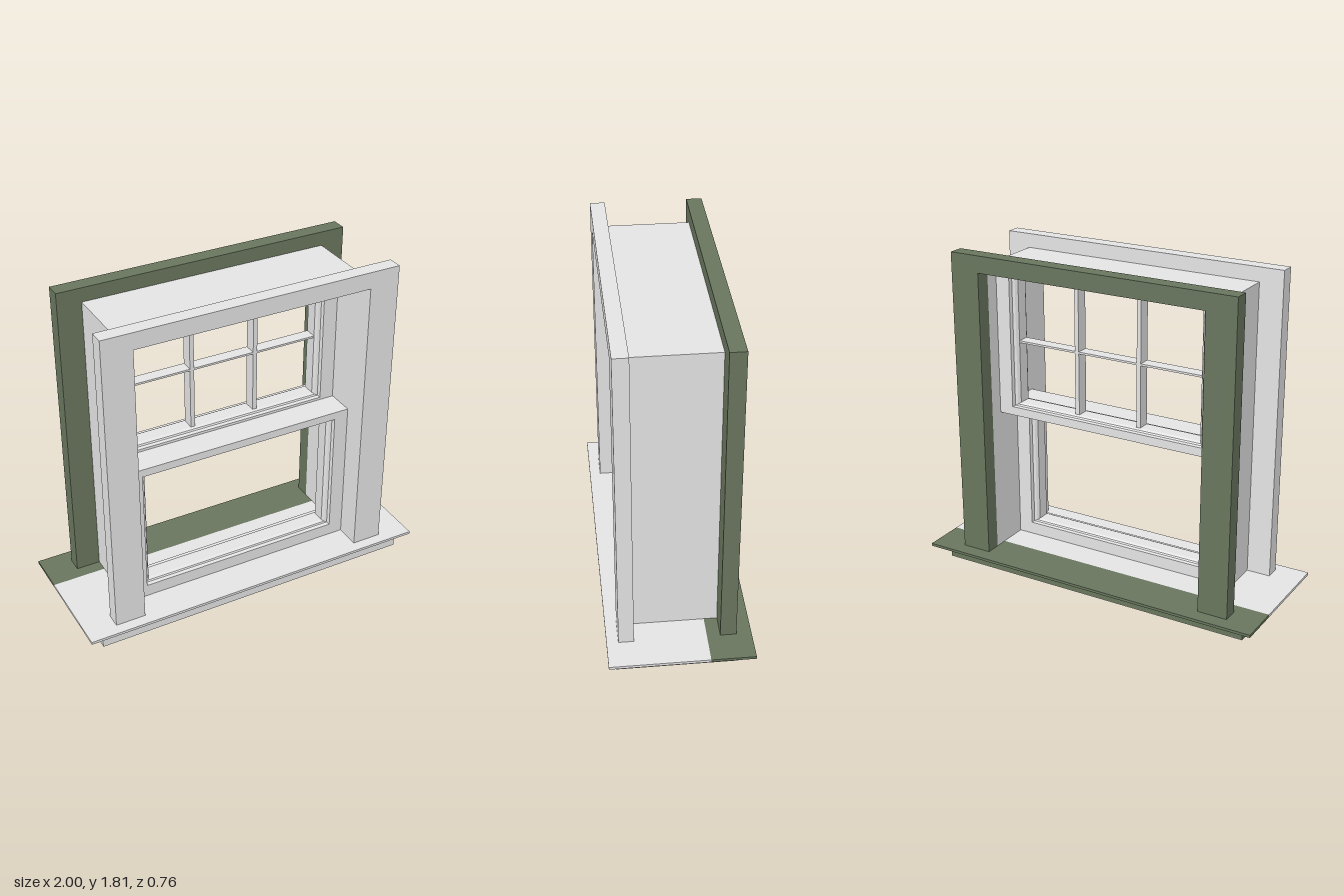
import * as THREE from 'three';

const SILL_TOP = 0.095;

export function createModel() {
  const root = new THREE.Group();
  root.name = 'sashWindow';
  const grey = new THREE.MeshStandardMaterial({ color: 0xe4e4e4 });
  grey.name = 'pale grey';
  const green = new THREE.MeshStandardMaterial({ color: 0x69765e });
  green.name = 'dull green';

  const add = (parent, name, geometry, material) => {
    const mesh = new THREE.Mesh(geometry, material);
    mesh.name = name;
    parent.add(mesh);
    return mesh;
  };

  // Box given by its limits on each axis
  const box = (parent, name, mat, [x0, x1], [y0, y1], [z0, z1]) => {
    const g = new THREE.BoxGeometry(x1 - x0, y1 - y0, z1 - z0);
    g.translate((x0 + x1) / 2, (y0 + y1) / 2, (z0 + z1) / 2);
    return add(parent, name, g, mat);
  };

  // Three-sided surround standing on the sill, extruded in z
  const surround = (outX, outY, inX, inY, z0, z1) => {
    const shape = new THREE.Shape([
      [-outX, SILL_TOP], [-inX, SILL_TOP], [-inX, inY], [inX, inY],
      [inX, SILL_TOP], [outX, SILL_TOP], [outX, outY], [-outX, outY],
    ].map(([x, y]) => new THREE.Vector2(x, y)));
    const g = new THREE.ExtrudeGeometry(shape, { depth: z1 - z0, bevelEnabled: false });
    return g.translate(0, 0, z0);
  };

  // Mitred sash: a moulded section [t, z] carried round from outer to inner rectangle
  const section = [
    [0, -0.078], [0, 0.078], [0.74, 0.078], [0.77, 0.055], [0.9, 0.05],
    [1, 0.035], [1, -0.035], [0.9, -0.05], [0.77, -0.055], [0.74, -0.078],
  ];
  const sashFrame = (outer, inner, zc) => {
    const corners = ([x, y0, y1]) => [[-x, y0], [x, y0], [x, y1], [-x, y1]];
    const o = corners(outer), n = corners(inner), pos = [];
    const point = (i, k) => {
      const [t, z] = section[k % section.length];
      const a = o[i % 4], b = n[i % 4];
      return [a[0] + (b[0] - a[0]) * t, a[1] + (b[1] - a[1]) * t, z + zc];
    };
    for (let i = 0; i < 4; i++) {
      for (let k = 0; k < section.length; k++) {
        const a = point(i, k), b = point(i + 1, k);
        const c = point(i + 1, k + 1), d = point(i, k + 1);
        pos.push(...a, ...b, ...c, ...a, ...c, ...d);
      }
    }
    const g = new THREE.BufferGeometry();
    g.setAttribute('position', new THREE.Float32BufferAttribute(pos, 3));
    g.computeVertexNormals();
    return g;
  };

  // Sill board and the block below it, green on the outside
  const sill = new THREE.Group();
  sill.name = 'sill';
  root.add(sill);
  box(sill, 'innerSillBoard', grey, [-1, 1], [0.08, SILL_TOP], [-0.145, 0.38]);
  box(sill, 'outerSillBoard', green, [-1, 1], [0.08, SILL_TOP], [-0.38, -0.145]);
  box(sill, 'innerSillBlock', grey, [-0.922, 0.922], [0, 0.08], [-0.19, 0.34]);
  box(sill, 'outerSillBlock', green, [-0.922, 0.922], [0.003, 0.08], [-0.3, -0.19]);
  box(sill, 'sillUnderside', grey, [-0.922, 0.922], [0, 0.003], [-0.3, -0.19]);

  // Everything above the sill
  const upper = new THREE.Group();
  upper.name = 'windowFrame';
  upper.position.x = -0.004;
  root.add(upper);
  add(upper, 'jambLining', surround(0.695, 1.735, 0.66, 1.72, -0.215, 0.237), grey);
  add(upper, 'innerCasing', surround(0.828, 1.813, 0.66, 1.72, 0.237, 0.318), grey);
  add(upper, 'outerCasing', surround(0.828, 1.813, 0.66, 1.72, -0.3, -0.215), green);

  // Lower sash slides on the inside, upper sash on the outside
  const lowerZ = 0.098, upperZ = -0.06;
  add(upper, 'lowerSash', sashFrame([0.66, 0.12, 0.925], [0.55, 0.18, 0.865], lowerZ), grey);
  box(upper, 'sashStop', grey, [-0.66, 0.66], [SILL_TOP, 0.12], [0.02, 0.176]);
  add(upper, 'upperSash', sashFrame([0.66, 0.89, 1.72], [0.55, 0.955, 1.657], upperZ), grey);

  // Glazing bars dividing the upper sash into six panes
  const barDepth = [upperZ - 0.035, upperZ + 0.035];
  for (const x of [-0.187, 0.187]) {
    box(upper, 'verticalGlazingBar', grey, [x - 0.012, x + 0.012], [0.953, 1.659], barDepth);
  }
  box(upper, 'horizontalGlazingBar', grey, [-0.552, 0.552], [1.3, 1.311], barDepth);

  return root;
}
